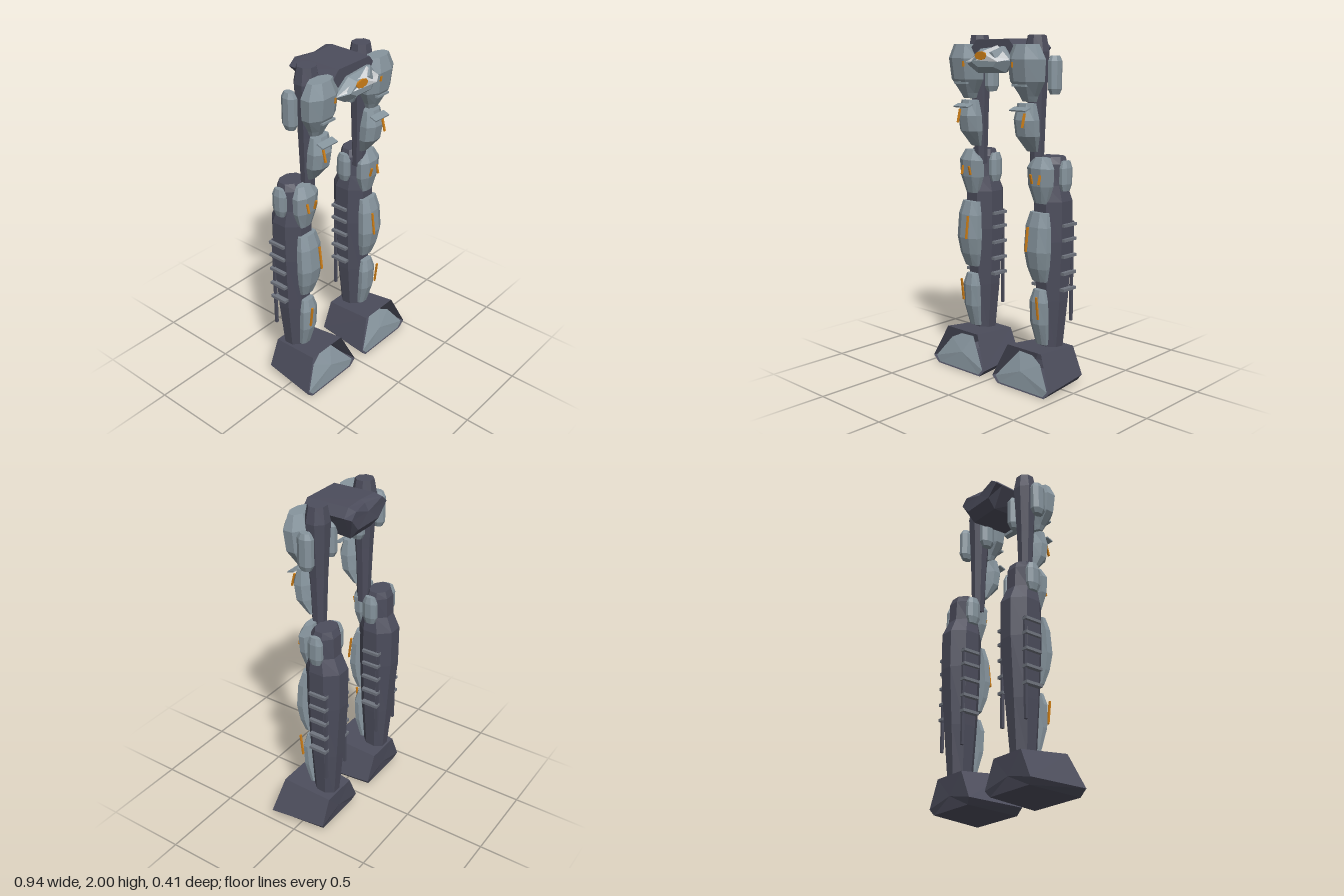
import * as THREE from 'three';

const mat = (name, color, side = THREE.FrontSide) => {
  const m = new THREE.MeshStandardMaterial({ color, side });
  m.name = name;
  return m;
};

// Flat-shaded skin over rings of points; each ring runs anticlockwise seen from the far end.
function loft(rings, capStart = true, capEnd = true) {
  const p = [], n = rings[0].length;
  const tri = (a, b, c) => p.push(...a, ...b, ...c);
  for (let r = 0; r < rings.length - 1; r++) {
    for (let i = 0; i < n; i++) {
      const j = (i + 1) % n, a = rings[r], b = rings[r + 1];
      tri(a[i], a[j], b[i]);
      tri(a[j], b[j], b[i]);
    }
  }
  const cap = (ring, flip) => {
    const c = [0, 1, 2].map(k => ring.reduce((t, q) => t + q[k], 0) / n);
    ring.forEach((q, i) => {
      const w = ring[(i + 1) % n];
      if (flip) tri(c, w, q); else tri(c, q, w);
    });
  };
  if (capStart) cap(rings[0], true);
  if (capEnd) cap(rings[rings.length - 1], false);
  return flatGeometry(p);
}

function flatGeometry(p) {
  const g = new THREE.BufferGeometry();
  g.setAttribute('position', new THREE.Float32BufferAttribute(p, 3));
  g.computeVertexNormals();
  return g;
}

// Eight-sided column; rows from top to bottom: [y, half width, back z, front z]
function column(rows, x) {
  const k = 1 / Math.cos(Math.PI / 8);
  return loft(rows.slice().reverse().map(([y, rx, z0, z1]) =>
    Array.from({ length: 8 }, (_, i) => {
      const a = (i + 0.5) * Math.PI / 4;
      return [x + Math.cos(a) * rx * k, y, (z0 + z1) / 2 - Math.sin(a) * k * (z1 - z0) / 2];
    })));
}

// Triangle fan from a centre point round an outline
function fan(c, pts, flip = false) {
  const p = [];
  pts.forEach((q, i) => {
    const w = pts[(i + 1) % pts.length];
    p.push(...c, ...(flip ? w : q), ...(flip ? q : w));
  });
  return flatGeometry(p);
}

export function createModel() {
  const dark = mat('dark frame', 0x4c4d5c, THREE.DoubleSide);
  const plate = mat('blue grey armour', 0x86949d, THREE.DoubleSide);
  const steel = mat('steel ribs', 0x70757f);
  const amber = mat('amber lights', 0xd08018);
  const white = mat('white trim', 0xd4d7da, THREE.DoubleSide);

  const model = new THREE.Group();
  model.name = 'mechanicalLegs';
  const add = (parent, name, geo, m) => {
    const mesh = new THREE.Mesh(geo, m);
    mesh.name = name;
    parent.add(mesh);
    return mesh;
  };
  const box = (parent, name, m, w, h, d, x, y, z, rx = 0, rz = 0) => {
    const b = add(parent, name, new THREE.BoxGeometry(w, h, d), m);
    b.position.set(x, y, z);
    b.rotation.set(rx, 0, rz);
  };

  for (const s of [-1, 1]) {
    const side = s > 0 ? 'left' : 'right';
    const leg = new THREE.Group();
    leg.name = side + 'Leg';
    leg.position.x = -0.012;
    model.add(leg);
    const hx = s * 0.222, kx = s * 0.273;

    // Inner frame: thigh strut and lower leg shell
    add(leg, 'thighStrut', column([
      [2, 0.05, -0.05, 0.05], [1.91, 0.068, -0.065, 0.065],
      [1.6, 0.05, -0.05, 0.045], [1.25, 0.036, -0.04, 0.03]], hx), dark);
    add(leg, 'lowerLegShell', column([
      [1.33, 0.072, -0.14, -0.03], [1.29, 0.085, -0.155, -0.005],
      [1.17, 0.085, -0.16, 0.01], [1.08, 0.105, -0.2, 0.025],
      [0.85, 0.105, -0.2, 0.025], [0.5, 0.088, -0.175, 0.005],
      [0.2, 0.062, -0.15, -0.01], [0.07, 0.025, -0.15, -0.1]], kx), dark);

    // Front armour
    add(leg, 'hipArmour', column([
      [1.95, 0.08, 0.06, 0.145], [1.87, 0.115, 0.03, 0.17],
      [1.75, 0.105, 0.03, 0.155], [1.67, 0.055, 0.04, 0.115],
      [1.64, 0.043, 0.045, 0.1]], hx + s * 0.012), plate);
    add(leg, 'thighArmour', column([
      [1.63, 0.058, 0.05, 0.115], [1.54, 0.075, 0.03, 0.14],
      [1.45, 0.072, 0.025, 0.125], [1.36, 0.035, 0.02, 0.05]], hx), plate);
    add(leg, 'kneeArmour', column([
      [1.33, 0.055, -0.01, 0.035], [1.27, 0.085, -0.02, 0.065],
      [1.17, 0.08, -0.02, 0.06], [1.07, 0.045, 0, 0.035]], kx), plate);
    add(leg, 'shinArmour', column([
      [1.02, 0.062, 0, 0.055], [0.94, 0.08, 0, 0.08], [0.8, 0.085, 0, 0.093],
      [0.7, 0.072, 0, 0.075], [0.62, 0.05, 0, 0.045]], kx), plate);
    add(leg, 'ankleArmour', column([
      [0.57, 0.04, 0, 0.045], [0.5, 0.06, 0, 0.062], [0.37, 0.058, -0.01, 0.058],
      [0.24, 0.04, -0.02, 0.02]], kx), plate);
    box(leg, 'hipLip', plate, 0.1, 0.012, 0.02, hx + s * 0.005, 1.73, 0.148);
    box(leg, 'thighBrow', plate, 0.12, 0.008, 0.045, hx, 1.6, 0.14, 0.35);

    // Pods beside the hip and discs beside the knee, on both flanks
    for (const f of [-1, 1]) {
      add(leg, 'hipPod', column([
        [1.89, 0.02, -0.04, 0.02], [1.86, 0.031, -0.055, 0.035],
        [1.71, 0.031, -0.055, 0.035], [1.68, 0.02, -0.04, 0.02]],
        s * (f > 0 ? 0.345 : 0.135)), plate);
      add(leg, 'kneeDisc', column([
        [1.31, 0.014, -0.11, -0.05], [1.27, 0.024, -0.125, -0.035],
        [1.18, 0.024, -0.125, -0.035], [1.14, 0.014, -0.11, -0.05]],
        kx + f * 0.098), plate);

      // Calf ribs on a vertical rod
      for (const y of [0.945, 0.86, 0.765, 0.665, 0.57])
        box(leg, 'calfRib', steel, 0.04, 0.017, 0.11, kx + f * 0.102, y, -0.1);
      box(leg, 'calfRod', dark, 0.016, 0.59, 0.016, kx + f * 0.096, 0.665, -0.143);
    }

    // Amber light slits: [x, y, z, length, tilt]
    for (const [x, y, z, l, t] of [
      [0.19, 1.84, 0.166, 0.03, 0], [0.253, 1.54, 0.145, 0.08, -0.25],
      [0.245, 1.21, 0.07, 0.055, 0.25], [0.305, 1.21, 0.07, 0.055, -0.25],
      [0.24, 0.87, 0.1, 0.14, -0.12], [0.303, 0.475, 0.08, 0.135, 0.12]])
      box(leg, 'lightSlit', amber, 0.012, l, 0.009, s * x, y, z, t);

    // Foot: open-fronted shell with a faceted toe inside
    const foot = new THREE.Group();
    foot.name = side + 'Foot';
    model.add(foot);
    const ring = pts => {
      const r = pts.map(([x, y, z]) => [s * x, y, z]);
      return s > 0 ? r : r.reverse();
    };
    add(foot, 'footShell', loft([
      ring([[0.095, 0.015, -0.15], [0.405, 0.015, -0.15], [0.43, 0.05, -0.163],
        [0.36, 0.21, -0.163], [0.14, 0.21, -0.163], [0.068, 0.05, -0.163]]),
      ring([[0.075, 0, 0.18], [0.43, 0, 0.18], [0.472, 0.04, 0.183],
        [0.38, 0.24, 0.145], [0.124, 0.24, 0.145], [0.035, 0.04, 0.183]]),
    ], true, false), dark);
    add(foot, 'toePlate', fan([s * 0.24, 0.11, 0.165], ring([
      [0.085, 0.008, 0.178], [0.42, 0.008, 0.178], [0.452, 0.042, 0.176],
      [0.36, 0.17, 0.13], [0.29, 0.205, 0.115], [0.19, 0.21, 0.115],
      [0.055, 0.042, 0.176]])), plate);
  }

  // Pelvis block, sagging slightly in the middle of its back
  const pelvis = new THREE.Group();
  pelvis.name = 'pelvis';
  model.add(pelvis);
  const section = (z, zMid, lift) => [
    [-0.1, 1.8 + lift, z], [0.1, 1.8 + lift, z], [0.16, 1.93, z], [0.12, 1.98 - lift * 0.2, z],
    [-0.005, 1.98 - lift * 0.2, zMid], [-0.13, 1.98 - lift * 0.2, z], [-0.175, 1.93, z]];
  add(pelvis, 'pelvisBlock', loft([section(-0.178, -0.15, 0.06), section(-0.13, -0.12, 0),
    section(0.13, 0.13, 0.02)]), dark);

  // Faceted front guard with white trim and amber lamp
  const guard = [[-0.19, 1.84], [-0.1, 1.79], [0.115, 1.795], [0.163, 1.86], [0.1, 1.94], [-0.08, 1.925]];
  const scaled = (k, z) => guard.map(([x, y]) => [-0.01 + (x + 0.01) * k, 1.865 + (y - 1.865) * k, z]);
  add(pelvis, 'frontGuard', loft([scaled(0.92, 0.12), scaled(1, 0.15), scaled(0.55, 0.192)]), plate);
  add(pelvis, 'guardTrim', fan([0.015, 1.89, 0.203], [
    [-0.185, 1.85, 0.162], [-0.06, 1.86, 0.2], [0.1, 1.855, 0.2], [0.158, 1.868, 0.165],
    [0.06, 1.945, 0.158], [-0.02, 1.915, 0.182]]), white);
  const lamp = add(pelvis, 'guardLamp', new THREE.CylinderGeometry(0.046, 0.046, 0.009, 8), amber);
  lamp.rotation.x = Math.PI / 2;
  lamp.scale.z = 0.52;
  lamp.position.set(-0.027, 1.887, 0.201);

  return model;
}
